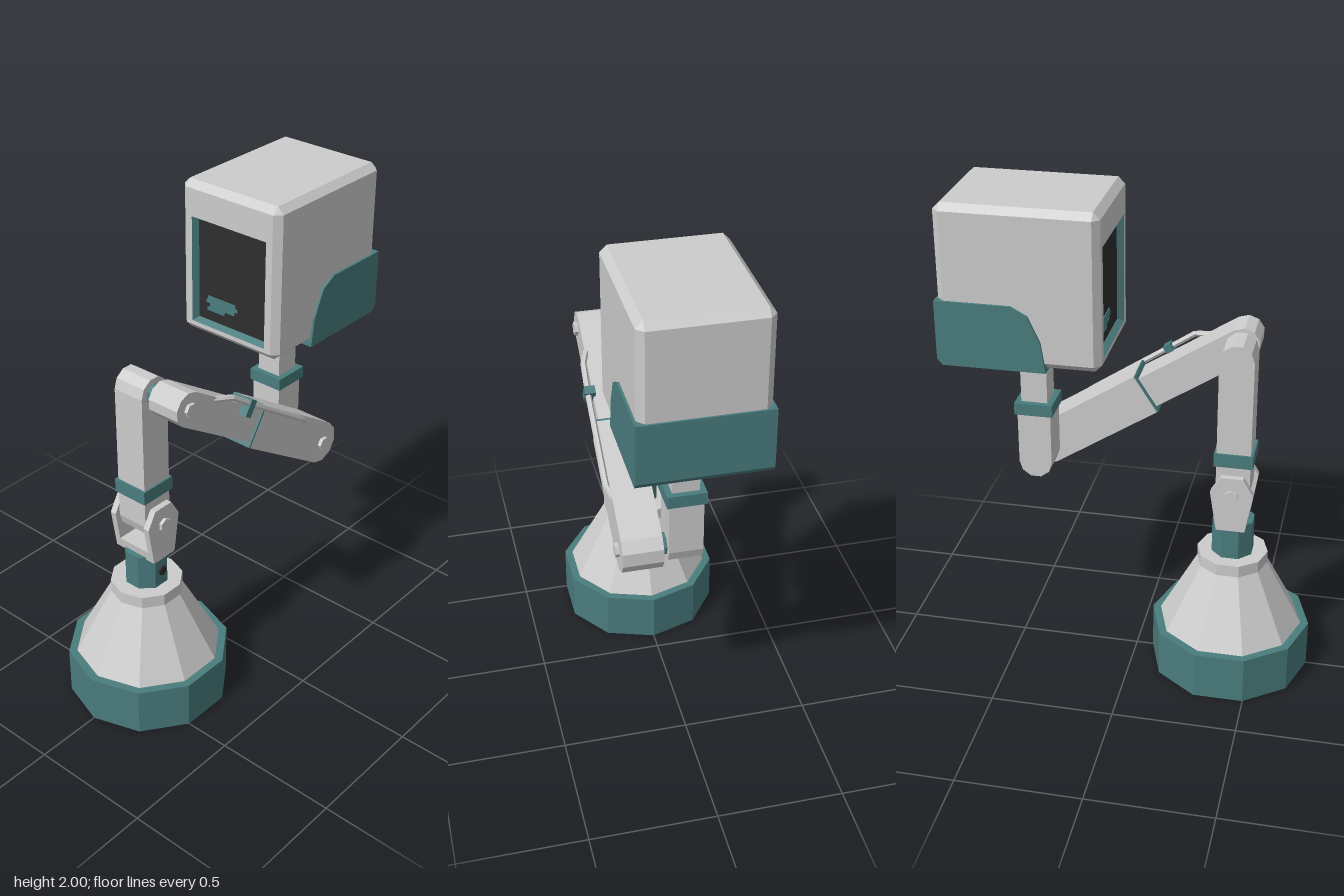
import * as THREE from 'three';

const paint = (name, color) => new THREE.MeshStandardMaterial({ name, color, flatShading: true });

export function createModel() {
  const grey = paint('light grey', 0xcccccc);
  const teal = paint('teal', 0x4a7c7e);
  const dark = paint('charcoal', 0x2e2e2e);
  const model = new THREE.Group();

  const add = (parent, name, geometry, material, x = 0, y = 0, z = 0) => {
    const mesh = new THREE.Mesh(geometry, material);
    mesh.name = name;
    mesh.position.set(x, y, z);
    parent.add(mesh);
    return mesh;
  };
  const box = (parent, name, material, w, h, d, x, y, z) =>
    add(parent, name, new THREE.BoxGeometry(w, h, d), material, x, y, z);
  const lathe = (pts) => new THREE.LatheGeometry(pts.map((p) => new THREE.Vector2(...p)), 10);

  // side frame: local x runs backwards, y up, z along the model's +x; then pitched by angle
  const frame = (name, y, z, angle = 0) => {
    const g = new THREE.Group();
    g.name = name;
    g.position.set(0, y, z);
    g.rotation.set(0, Math.PI / 2, angle);
    model.add(g);
    return g;
  };
  const slab = (parent, name, material, pts, x0, x1) =>
    add(parent, name, new THREE.ExtrudeGeometry(
      new THREE.Shape(pts.map((p) => new THREE.Vector2(...p))),
      { depth: x1 - x0, bevelEnabled: false }), material, 0, 0, x0);
  // bar outline with faceted round ends
  const bar = (u0, u1, r, round0, round1) => {
    const end = (u, start, round) => Array.from({ length: round ? 6 : 2 }, (_, i) => {
      const a = start + (i / (round ? 5 : 1)) * Math.PI;
      return [u + (round ? Math.cos(a) * r : 0), Math.sin(a) * r];
    });
    return [...end(u1, -Math.PI / 2, round1), ...end(u0, Math.PI / 2, round0)];
  };
  const pin = (parent, name, material, r, sides, u, v, x0, x1) => {
    const m = add(parent, name, new THREE.CylinderGeometry(r, r, x1 - x0, sides), material, u, v, (x0 + x1) / 2);
    m.rotation.x = Math.PI / 2;
  };

  const FZ = 0.398, BZ = -0.405;

  // flared hollow foot
  add(model, 'footBand', lathe([[0.305, 0], [0.328, 0], [0.328, 0.2], [0.29, 0.2]]), teal, 0, 0, FZ);
  add(model, 'footCone', lathe([[0.295, 0.2], [0.145, 0.48], [0.145, 0.53], [0, 0.53]]), grey, 0, 0, FZ);
  add(model, 'footInside', lathe([[0, 0.46], [0.13, 0.46], [0.275, 0.19], [0.305, 0]]), dark, 0, 0, FZ);

  // neck with set screw
  const neck = add(model, 'neck', new THREE.CylinderGeometry(0.088, 0.088, 0.16, 8), teal, 0, 0.6, FZ);
  neck.rotation.y = Math.PI / 8;
  const joint = frame('lowerJoint', 0, FZ);
  pin(joint, 'setScrew', dark, 0.02, 8, 0, 0.6, 0.07, 0.092);

  // yoke around the foot of the column
  const cheek = [[-0.058, 0.67], [0.058, 0.67], [0.085, 0.84], [0.045, 0.908], [-0.045, 0.908], [-0.085, 0.84]];
  for (const x of [-0.1, 0.074]) slab(joint, 'yokeCheek', grey, cheek, x, x + 0.026);
  slab(joint, 'yokeFloor', grey, [[-0.058, 0.67], [0.058, 0.67], [0.065, 0.715], [-0.065, 0.715]], -0.075, 0.075);
  pin(joint, 'yokeBolt', grey, 0.028, 6, 0, 0.83, -0.112, 0.114);

  // front column
  const column = frame('column', 0, FZ, Math.PI / 2);
  slab(column, 'columnBar', grey, bar(0.832, 1.395, 0.068, true, true), -0.068, 0.068);
  box(model, 'columnBand', teal, 0.152, 0.056, 0.156, 0, 0.972, FZ);

  // sloping telescopic arm
  const arm = frame('arm', 1.395, FZ, -0.575);
  const LEN = 0.955, SEAM = 0.457;
  slab(arm, 'innerArm', grey, bar(0, SEAM + 0.1, 0.068, true, false), 0.1, 0.238);
  slab(arm, 'outerArm', grey, bar(SEAM, LEN, 0.088, false, true), 0.088, 0.247);
  box(arm, 'armMouth', teal, 0.008, 0.176, 0.159, SEAM - 0.004, 0, 0.1675);
  pin(arm, 'upperSpacer', teal, 0.045, 8, 0, 0, 0.06, 0.105);
  pin(arm, 'lowerSpacer', teal, 0.045, 8, LEN, 0, 0.06, 0.095);
  pin(arm, 'upperBolt', grey, 0.028, 6, 0, 0, 0.23, 0.252);
  pin(arm, 'lowerBolt', grey, 0.028, 6, LEN, 0, 0.24, 0.262);

  // cable along the arm, held by a clip
  const path = new THREE.CurvePath();
  const stops = [[0.13, 0.055, 0.228], [0.2, 0.084, 0.255], [0.33, 0.08, 0.259], [0.72, 0.075, 0.259], [0.775, 0.07, 0.24]]
    .map((p) => new THREE.Vector3(...p));
  for (let i = 1; i < stops.length; i++) path.add(new THREE.LineCurve3(stops[i - 1], stops[i]));
  add(arm, 'cable', new THREE.TubeGeometry(path, 24, 0.012, 6), grey);
  box(arm, 'cableClip', teal, 0.034, 0.07, 0.042, 0.325, 0.064, 0.252);

  // rear post carrying the head
  const post = frame('post', 0, BZ, Math.PI / 2);
  slab(post, 'postBar', grey, bar(0.876, 1.1, 0.067, true, false), -0.067, 0.067);
  box(model, 'postBand', teal, 0.154, 0.05, 0.154, 0, 1.115, BZ);
  box(model, 'postStem', grey, 0.106, 0.23, 0.106, 0, 1.235, BZ);
  const collar = add(model, 'postCollar', new THREE.CylinderGeometry(0.106, 0.106, 0.05, 8), grey, 0, 1.347, BZ);
  collar.rotation.y = Math.PI / 8;

  // skin between matching rings (counter-clockwise from the front, ordered front to back)
  const loft = (rings) => {
    const n = rings[0].length, index = [];
    for (let j = 0; j + 1 < rings.length; j++) for (let i = 0; i < n; i++) {
      const a = j * n + i, b = j * n + (i + 1) % n;
      index.push(a, a + n, b, b, a + n, b + n);
    }
    const g = new THREE.BufferGeometry();
    g.setAttribute('position', new THREE.Float32BufferAttribute(rings.flat(2), 3));
    g.setIndex(index);
    g.computeVertexNormals();
    return g;
  };
  const rect = (hx, hy, z) => [[hx, -hy, z], [hx, hy, z], [-hx, hy, z], [-hx, -hy, z]];
  const octagon = (hx, hy, c, z) => [
    [hx, c - hy, z], [hx, hy - c, z], [hx - c, hy, z], [c - hx, hy, z],
    [-hx, hy - c, z], [-hx, c - hy, z], [c - hx, -hy, z], [hx - c, -hy, z]];
  // ring whose chamfers close to sharp corners
  const closed = (hx, hy, z) => [
    [hx, -hy, z], [hx, hy, z], [hx, hy, z], [-hx, hy, z],
    [-hx, hy, z], [-hx, -hy, z], [-hx, -hy, z], [hx, -hy, z]];

  // head: chamfered shell with a recessed screen
  const head = new THREE.Group();
  head.name = 'head';
  head.position.set(0, 1.6875, 0);
  model.add(head);
  const HX = 0.238, HY = 0.3125, C = 0.027, ZF = -0.09, ZB = -0.717;
  add(head, 'headShell', loft([
    closed(HX - C, HY - C, ZF), octagon(HX, HY, C, ZF - C),
    octagon(HX, HY, C, ZB + C), closed(HX - C, HY - C, ZB)]), grey);
  const back = add(head, 'headBack', new THREE.PlaneGeometry(2 * (HX - C), 2 * (HY - C)), grey, 0, 0, ZB);
  back.rotation.y = Math.PI;
  const SY = -0.0475;
  const toShape = (hx, hy, y) => rect(hx, hy, 0).map((p) => new THREE.Vector2(p[0], p[1] + y));
  const face = new THREE.Shape(toShape(HX - C, HY - C, 0));
  face.holes.push(new THREE.Path(toShape(0.181, 0.22, SY)));
  add(head, 'headFace', new THREE.ShapeGeometry(face), grey, 0, 0, ZF);
  // ring order reversed so the walls face inwards
  add(head, 'screenSurround', loft([rect(0.166, 0.206, ZF - 0.025), rect(0.181, 0.22, ZF)]), teal, 0, SY, 0);
  add(head, 'screen', new THREE.PlaneGeometry(0.332, 0.412), dark, 0, SY, ZF - 0.025);
  // bars shown on the screen: left, right, height
  for (const [l, r, y] of [[-0.118, 0.02, -0.155], [-0.125, 0.028, -0.171], [-0.108, 0.015, -0.187], [-0.122, -0.035, -0.203]])
    box(head, 'screenBar', teal, r - l, 0.014, 0.004, (l + r) / 2, y, ZF - 0.023);

  // tray wrapping the lower back of the head
  const tray = frame('tray', 0, 0);
  slab(tray, 'headTray', teal, [
    [0.3, 1.365], [0.705, 1.365], [0.725, 1.39], [0.725, 1.625],
    [0.43, 1.625], [0.366, 1.59], [0.318, 1.485]], -0.248, 0.248);

  return model;
}
